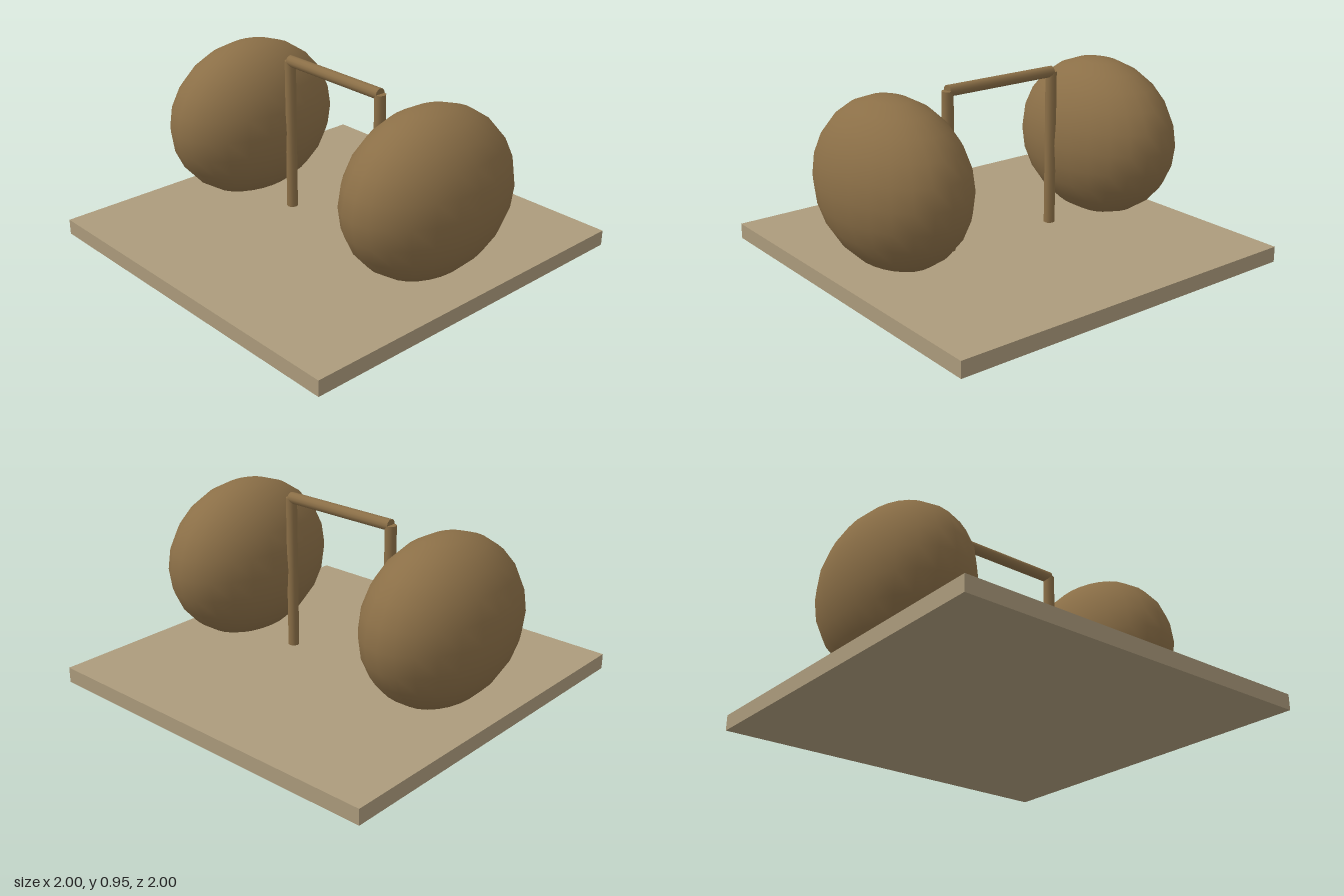
import * as THREE from 'three';

export function createModel() {
  const model = new THREE.Group();
  const wood = new THREE.MeshStandardMaterial({ color: 0x8b6f47 });
  wood.name = 'brown wood';
  const sand = new THREE.MeshStandardMaterial({ color: 0xac9b7c });
  sand.name = 'pale sand';

  const add = (name, geometry, material, x, y) => {
    const mesh = new THREE.Mesh(geometry, material);
    mesh.name = name;
    mesh.position.set(x, y, 0);
    model.add(mesh);
    return mesh;
  };

  // Square ground slab
  const baseTop = 0.083;
  add('base', new THREE.BoxGeometry(2, baseTop, 2), sand, 0, baseTop / 2);

  // Matching boulder and gate post on each side
  const postTop = 0.917;
  const postHeight = postTop - baseTop;
  for (const [side, s] of [['left', 1], ['right', -1]]) {
    const boulder = new THREE.SphereGeometry(1, 24, 12).scale(0.333, 0.43, 0.5);
    add(side + 'Boulder', boulder, wood, s * 0.667, 0.517);
    const post = new THREE.CylinderGeometry(0.03, 0.03, postHeight, 12);
    add(side + 'Post', post, wood, s * 0.333, baseTop + postHeight / 2);
  }

  // Crossbar resting between the post tops
  const bar = new THREE.CylinderGeometry(0.03, 0.03, 0.667, 12).rotateZ(Math.PI / 2);
  add('crossbar', bar, wood, 0, postTop);

  return model;
}
